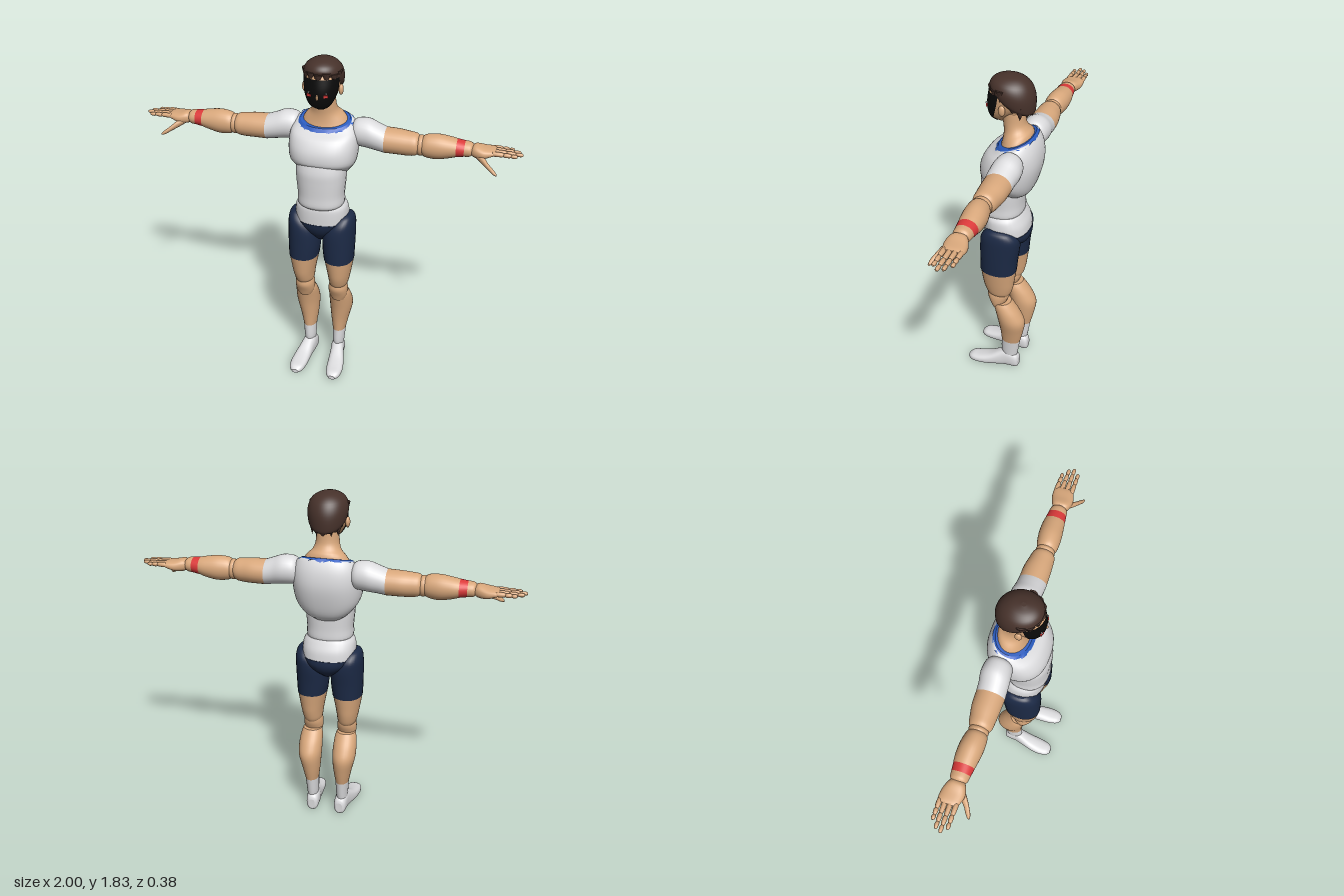
import * as THREE from 'three';

const mat = (name, color, side = THREE.FrontSide) => {
  const m = new THREE.MeshStandardMaterial({ color, side });
  m.name = name;
  return m;
};

// Catmull-Rom interpolation through rows of numbers
function smoothRows(rows, steps) {
  const out = [];
  for (let i = 0; i < rows.length - 1; i++) {
    const p0 = rows[Math.max(i - 1, 0)], p1 = rows[i], p2 = rows[i + 1];
    const p3 = rows[Math.min(i + 2, rows.length - 1)];
    for (let s = 0; s < steps; s++) {
      const t = s / steps;
      out.push(p1.map((b, k) => {
        const a = p0[k], c = p2[k], d = p3[k];
        return b + 0.5 * t * (c - a + t * (2 * a - 5 * b + 4 * c - d + t * (3 * (b - c) + d - a)));
      }));
    }
  }
  out.push(rows[rows.length - 1]);
  return out;
}

// Loft of rounded sections along an axis.
// Row: y axis [y, cx, cz, rx, rz, tilt], x axis [x, cy, cz, ry, rz], z axis [z, cx, cy, rx, ry]
function loft(axis, rows, { n = 2, seg = 28, steps = 4, arc = null, jag = 0 } = {}) {
  const full = rows.map(r => [...r, ...Array(6 - r.length).fill(0)]);
  const rings = smoothRows(full, steps);
  const [a0, a1] = arc || [0, Math.PI * 2];
  const cols = arc ? seg + 1 : seg;
  const pos = [], idx = [];
  const pw = v => Math.sign(v) * Math.pow(Math.abs(v), 2 / n);
  rings.forEach(([t, p, q, rp, rq, tilt], i) => {
    for (let j = 0; j < cols; j++) {
      const a = a0 + (a1 - a0) * j / seg, c = pw(Math.cos(a)), s = pw(Math.sin(a));
      const wave = i === 0 ? jag * (Math.sin(a * 9) + Math.sin(a * 14 + 1)) : 0;
      if (axis === 'y') pos.push(p + rp * c, t + tilt * rq * s + wave, q + rq * s);
      else if (axis === 'x') pos.push(t, p + rp * s, q + rq * c);
      else pos.push(p + rp * s, q + rq * c, t);
    }
  });
  for (let i = 0; i < rings.length - 1; i++) {
    for (let j = 0; j < seg; j++) {
      const k = (j + 1) % cols, a = i * cols + j, b = i * cols + k;
      idx.push(a, a + cols, b, b, a + cols, b + cols);
    }
  }
  // flat end caps
  if (!arc) [0, rings.length - 1].forEach((i, end) => {
    const [t, p, q] = rings[i], base = pos.length / 3;
    for (let j = 0; j < cols; j++) pos.push(...pos.slice((i * cols + j) * 3, (i * cols + j) * 3 + 3));
    pos.push(...(axis === 'y' ? [p, t, q] : axis === 'x' ? [t, p, q] : [p, q, t]));
    for (let j = 0; j < cols; j++) {
      const a = base + j, b = base + (j + 1) % cols;
      idx.push(base + cols, end ? b : a, end ? a : b);
    }
  });
  const g = new THREE.BufferGeometry();
  g.setAttribute('position', new THREE.Float32BufferAttribute(pos, 3));
  g.setIndex(idx);
  g.computeVertexNormals();
  return g;
}

// Copy reflected across x = 0 with corrected winding
function mirrored(geo) {
  const g = geo.clone().scale(-1, 1, 1), a = g.index.array;
  for (let i = 0; i < a.length; i += 3) [a[i], a[i + 1]] = [a[i + 1], a[i]];
  g.computeVertexNormals();
  return g;
}

export function createModel() {
  const skin = mat('skin', 0xd9a87c), white = mat('white cloth', 0xdcdcde);
  const navy = mat('navy cloth', 0x1c2a46), hair = mat('brown hair', 0x47322b);
  const red = mat('red', 0xdc3a3a), blue = mat('blue trim', 0x2a5cc0, THREE.DoubleSide);
  const black = mat('black mask', 0x0a0a0a, THREE.DoubleSide);
  const model = new THREE.Group();
  model.name = 'figure';
  const add = (name, geo, m) => {
    const mesh = new THREE.Mesh(geo, m);
    mesh.name = name;
    model.add(mesh);
  };
  const pair = (name, geo, m) => {
    add(name + 'Left', geo, m);
    add(name + 'Right', mirrored(geo), m);
  };
  const ball = (x, y, z, rx, ry, rz) =>
    new THREE.SphereGeometry(1, 20, 14).scale(rx, ry, rz).translate(x, y, z);

  // Torso
  add('chest', loft('y', [
    [1.19, 0, -.02, .09, .08, .2], [1.24, 0, -.02, .135, .118, .3], [1.29, 0, -.024, .17, .143, .15],
    [1.37, 0, -.037, .18, .152, 0], [1.44, 0, -.05, .174, .132, -.1],
    [1.485, 0, -.06, .15, .095, -.3], [1.495, 0, -.06, .125, .08, -.3]], { n: 2.4, seg: 40 }), white);
  add('waist', loft('y', [
    [1.045, 0, .01, .105, .095], [1.065, 0, .012, .123, .11], [1.12, 0, .012, .123, .11],
    [1.2, 0, .012, .13, .113], [1.26, 0, .012, .132, .112], [1.33, 0, .005, .125, .1]], { n: 2.3 }), white);
  add('pelvis', loft('y', [
    [.95, 0, -.014, .142, .121], [1, 0, -.01, .142, .118], [1.04, 0, -.002, .136, .108],
    [1.062, 0, 0, .12, .098]], { n: 2.3 }), white);
  add('shortsSeat', loft('y', [
    [.835, 0, -.01, .025, .05], [.88, 0, -.018, .08, .1], [.92, 0, -.018, .125, .12],
    [.955, 0, -.014, .144, .123]], { n: 2.3 }), navy);
  add('collar', loft('y', [
    [1.484, 0, -.06, .148, .099, -.3], [1.499, 0, -.06, .128, .085, -.3]],
    { n: 2.3, seg: 60, steps: 2, jag: .004 }), blue);

  // Neck and head
  add('neck', loft('y', [
    [1.47, 0, -.06, .13, .085, -.3], [1.515, 0, -.062, .105, .073, -.3], [1.55, 0, -.055, .072, .062, -.15],
    [1.59, 0, -.045, .06, .058], [1.65, 0, -.04, .058, .058]]), skin);
  const face = [
    [1.585, 0, .02, .02, .02], [1.61, 0, .03, .05, .045], [1.65, 0, .01, .075, .078],
    [1.7, 0, -.01, .088, .098], [1.752, 0, -.02, .09, .1]];
  add('head', loft('y', [...face, [1.8, 0, -.03, .07, .08]]), skin);
  add('faceMask', loft('y', face.map(([y, x, z, a, b]) => [y, x, z, a + .005, b + .005]),
    { arc: [.28, Math.PI - .28] }), black);
  pair('ear', ball(.094, 1.68, -.012, .012, .028, .018), skin);
  add('nose', ball(0, 1.665, .093, .006, .016, .008), skin);
  pair('eye', new THREE.BoxGeometry(.022, .012, .008).rotateY(.3).translate(.043, 1.672, .085), red);
  pair('eyeGlint', new THREE.BoxGeometry(.006, .006, .008).rotateY(.3).translate(.045, 1.686, .085), white);

  // Hair cap with fringe and nape locks
  add('hair', loft('y', [
    [1.69, 0, -.045, .083, .092, .5], [1.715, 0, -.038, .098, .11, .5], [1.76, 0, -.035, .101, .114, .25],
    [1.8, 0, -.03, .085, .096, .1], [1.825, 0, -.02, .05, .06], [1.834, 0, -.016, .01, .012]],
    { seg: 48, jag: .006 }), hair);
  for (let i = 0; i < 7; i++) {
    const a = Math.PI * (.08 + .14 * i), drop = i % 2 ? .008 : 0;
    add('fringeLock', new THREE.ConeGeometry(.024, .06, 6).rotateX(Math.PI).scale(1, 1, .6)
      .rotateY(Math.PI / 2 - a).translate(Math.cos(a) * .092, 1.752 - drop, -.025 + Math.sin(a) * .098), hair);
  }
  for (let i = 0; i < 5; i++) {
    const a = Math.PI * (1.2 + .15 * i);
    add('napeLock', new THREE.ConeGeometry(.03, .07, 6).rotateX(Math.PI).scale(1, 1, .6)
      .rotateY(Math.PI / 2 - a).translate(Math.cos(a) * .082, 1.665, -.045 + Math.sin(a) * .085), hair);
  }

  // Arms
  const cuff = [.315, 1.408, -.078, .066, .072];
  const bandIn = [.675, 1.409, -.08, .046, .052], bandOut = [.715, 1.41, -.08, .04, .047];
  pair('sleeve', loft('x', [
    [.14, 1.43, -.085, .055, .05], [.165, 1.434, -.085, .072, .068], [.22, 1.432, -.085, .077, .075],
    [.27, 1.42, -.08, .071, .073], cuff]), white);
  pair('upperArm', loft('x', [
    cuff, [.38, 1.407, -.078, .065, .07], [.43, 1.405, -.075, .063, .064],
    [.47, 1.405, -.073, .058, .058], [.488, 1.405, -.073, .045, .046]]), skin);
  pair('elbow', ball(.496, 1.403, -.073, .035, .054, .05), skin);
  pair('forearm', loft('x', [
    [.502, 1.405, -.073, .046, .044], [.525, 1.405, -.073, .06, .054], [.58, 1.405, -.077, .065, .06],
    [.64, 1.407, -.08, .055, .057], bandIn]), skin);
  pair('wristband', loft('x', [bandIn, bandOut], { steps: 2 }), red);
  pair('wrist', loft('x', [bandOut, [.742, 1.41, -.08, .037, .043], [.756, 1.41, -.08, .026, .032]]), skin);

  // Hands
  pair('palm', loft('x', [
    [.75, 1.408, -.08, .024, .034], [.77, 1.408, -.08, .033, .046], [.81, 1.404, -.083, .029, .057],
    [.85, 1.409, -.089, .019, .053], [.868, 1.41, -.089, .012, .048]], { n: 2.4 }), skin);
  [[-.129, .955], [-.103, .988], [-.077, 1], [-.05, .975]].forEach(([z, tip], i) => {
    const start = .852, len = tip - start;
    for (let s = 0; s < 3; s++) {
      const x0 = start + len * [0, .45, .75][s], x1 = start + len * [.46, .76, 1][s];
      const r = .0125 - s * .0012, y = 1.412 - s * .001;
      pair('finger' + (i + 1) + 'Joint', loft('x', [
        [x0, y, z, r * .7, r * .7], [x0 + .008, y, z, r, r], [x1 - .008, y, z, r * .92, r * .92],
        [x1, y, z, r * .5, r * .5]], { seg: 10, steps: 2 }), skin);
    }
  });
  pair('thumb', loft('x', [
    [.775, 1.395, -.06, .018, .02], [.81, 1.378, -.035, .02, .02], [.845, 1.355, -.008, .014, .014],
    [.87, 1.339, .006, .012, .012], [.888, 1.329, .014, .005, .005]], { seg: 12 }), skin);

  // Legs
  const hem = [.72, .098, .006, .08, .099], sockTop = [.205, .087, -.062, .037, .054];
  pair('shortsLeg', loft('y', [
    hem, [.8, .095, .003, .086, .103], [.89, .097, -.003, .085, .108],
    [.945, .113, -.006, .067, .1], [.98, .128, -.004, .043, .07], [.993, .132, 0, .022, .04]], { n: 2.2 }), navy);
  pair('thigh', loft('y', [
    [.545, .096, .002, .042, .056], [.565, .097, .003, .052, .069], [.61, .099, .005, .06, .083],
    [.66, .099, .006, .069, .091], hem]), skin);
  pair('knee', loft('y', [
    [.45, .095, .005, .036, .032], [.485, .095, .008, .05, .042], [.53, .095, .008, .053, .06],
    [.565, .095, .004, .046, .06]]), skin);
  pair('calf', loft('y', [
    sockTop, [.28, .09, -.068, .05, .066], [.36, .096, -.068, .063, .077], [.42, .097, -.049, .064, .07],
    [.47, .096, -.026, .059, .058], [.497, .096, -.016, .05, .048]]), skin);
  pair('sock', loft('y', [
    [.1, .085, -.056, .03, .044], [.135, .085, -.056, .033, .05], sockTop]), white);
  pair('foot', loft('z', [
    [-.109, .08, .045, .018, .028], [-.095, .08, .05, .033, .047], [-.04, .083, .062, .037, .06],
    [0, .09, .054, .039, .052], [.06, .1, .038, .045, .036], [.12, .106, .029, .046, .027],
    [.165, .108, .025, .037, .022], [.188, .108, .02, .018, .011]], { n: 2.5 }), white);

  return model;
}
